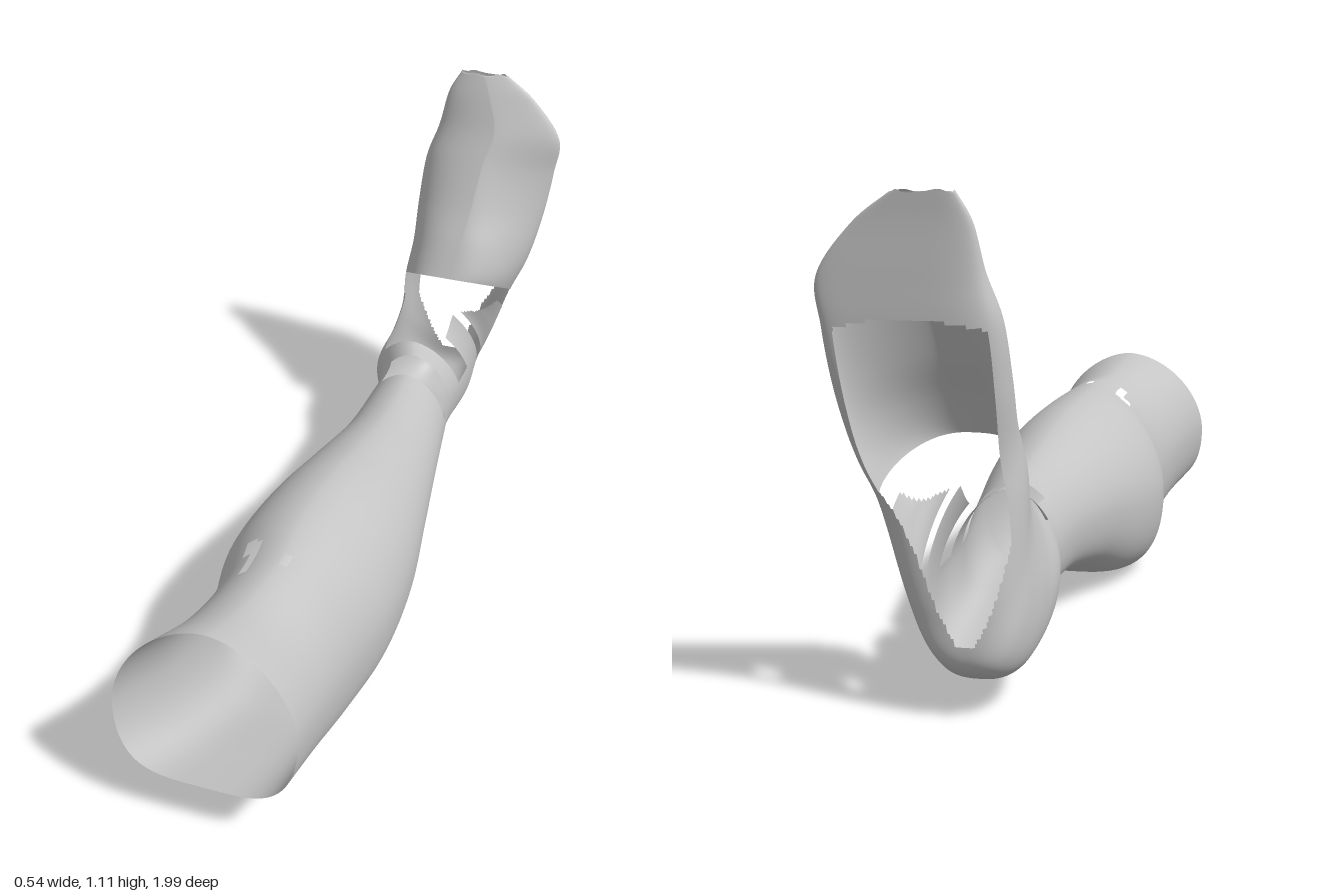
import * as THREE from 'three';

const { lerp, smoothstep, clamp } = THREE.MathUtils;

// Cross-sections from knee to toes:
// back point (z, y), front point (z, y), x range
const SECTIONS = [
  [1.0, 0.13, 0.945, 0.55, -0.27, 0.185],
  [0.82, 0.08, 0.78, 0.51, -0.22, 0.185],
  [0.6, 0.02, 0.6, 0.505, -0.2, 0.195],
  [0.4, 0.002, 0.4, 0.505, -0.24, 0.215],
  [0.2, 0.03, 0.2, 0.49, -0.225, 0.21],
  [0, 0.095, 0, 0.455, -0.18, 0.18],
  [-0.2, 0.13, -0.2, 0.42, -0.14, 0.145],
  [-0.4, 0.137, -0.4, 0.405, -0.13, 0.11],
  [-0.54, 0.13, -0.5, 0.41, -0.13, 0.09],
  [-0.7, 0.105, -0.58, 0.42, -0.175, 0.09],
  [-0.86, 0.07, -0.64, 0.46, -0.17, 0.09],
  [-0.96, 0.11, -0.675, 0.52, -0.155, 0.095],
  [-0.97, 0.22, -0.69, 0.55, -0.145, 0.125],
  [-0.96, 0.42, -0.7, 0.57, -0.14, 0.175],
  [-0.957, 0.53, -0.745, 0.66, -0.13, 0.21],
  [-0.98, 0.68, -0.797, 0.75, -0.13, 0.24],
  [-0.988, 0.82, -0.857, 0.87, -0.12, 0.26],
  [-0.985, 0.93, -0.9, 0.96, -0.088, 0.268],
  [-0.98, 1.04, -0.935, 1.05, -0.065, 0.19],
  [-0.98, 1.11, -0.96, 1.11, -0.03, 0.1],
];
const LAST = SECTIONS.length - 1;
const STEPS = 14; // rows per section
const ROWS = LAST * STEPS;
const SIDES = 160;

const spline = (points) => new THREE.CatmullRomCurve3(points, false, 'catmullrom', 0.5);
const backCurve = spline(SECTIONS.map((s) => new THREE.Vector3(s[4], s[1], s[0])));
const frontCurve = spline(SECTIONS.map((s) => new THREE.Vector3(s[5], s[3], s[2])));

// Point on the shell: t counts sections, a is the angle from the shin ridge.
// The calf is boxy below with a ridge on top; the foot slopes to its left side.
function shellPoint(t, a) {
  const back = backCurve.getPoint(t / LAST);
  const front = frontCurve.getPoint(t / LAST);
  const foot = smoothstep(t, 10, 13);
  const toes = smoothstep(t, 13, 16);
  const heel = smoothstep(t, 9, 11) * (1 - smoothstep(t, 12.5, 14.5));
  const c = Math.cos(a);
  const s = Math.sin(a);
  const drop = s > 0 ? 0.38 * foot + 0.9 * toes : 0.2 * toes - 0.1 * foot;
  const ridge = 1.12 + (s > 0 ? 0.8 * toes - 0.22 * foot : 0.1 * toes - 0.42 * foot);
  const power = c < 0 ? 0.62 + 0.33 * heel : ridge;
  const h = Math.pow((1 + c) / 2, 1.22 + drop);
  const x = (back.x + front.x) / 2
    + (front.x - back.x) / 2 * Math.sign(s) * Math.pow(Math.abs(s), power)
    - 0.025 * heel * Math.pow((1 - c) / 2, 2);
  return [x, lerp(back.y, front.y, h), lerp(back.z, front.z, h)];
}

// Openings: section range, signed angle range in degrees (+ is the left side),
// and the angle range at the far end where it differs
const OPENINGS = [
  [7.05, 8.1, -40, 80], // window above the strap
  [8.85, 9.7, 0, 80], // left window below the strap
  [8.85, 11.5, -48, 0], // open instep
  [9.7, 10.7, 0, 38],
  [10.7, 11.05, 0, 105], // slit behind the left ankle strip
  [11.05, 12.6, 0, 45, 0, 70],
  [11.5, 13, -48, 0, -75, 0],
  [12.6, 13, 0, 105], // gap under the foot cover
  [1.75, 2.4, -29, -23], // small shin cracks
  [2.2, 2.5, -35, -26],
  [1.9, 2.15, 2, 8],
];

// The sole is open between the heel and the ball of the foot
function isSole(t, degrees) {
  const [t1, edge] = degrees > 0 ? [13.5, 130] : [12.6, 125];
  const sideEdge = lerp(172, edge, clamp((t - 11.6) / (t1 - 11.6), 0, 1));
  const end = 16 + 0.25 * (Math.abs(degrees) - 125) / 55;
  return t > 11.6 && t < end && Math.abs(degrees) > sideEdge;
}

function isOpen(t, degrees) {
  return isSole(t, degrees) || OPENINGS.some(([t0, t1, a0, a1, b0 = a0, b1 = a1]) => {
    const f = (t - t0) / (t1 - t0);
    return f > 0 && f < 1 && degrees > lerp(a0, b0, f) && degrees < lerp(a1, b1, f);
  });
}

export function createModel() {
  const group = new THREE.Group();
  const shellGrey = new THREE.MeshStandardMaterial({ color: 0xc4c4c4, side: THREE.DoubleSide });
  shellGrey.name = 'shell grey';

  // Shared vertex grid
  const positions = [];
  for (let r = 0; r <= ROWS; r++) {
    for (let i = 0; i < SIDES; i++) {
      const a = i / SIDES * Math.PI * 2;
      const p = shellPoint(r / STEPS, a);
      // ragged toe rim
      if (r === ROWS) p[1] -= 0.004 * (1 + Math.sin(a * 5));
      positions.push(...p);
    }
  }
  const grid = new THREE.BufferGeometry();
  grid.setAttribute('position', new THREE.Float32BufferAttribute(positions, 3));

  const faces = (fromRow, toRow, cut) => {
    const index = [];
    for (let r = fromRow; r < toRow; r++) {
      for (let i = 0; i < SIDES; i++) {
        let degrees = (i + 0.5) / SIDES * 360;
        if (degrees > 180) degrees -= 360;
        if (cut && isOpen((r + 0.5) / STEPS, degrees)) continue;
        const j = (i + 1) % SIDES;
        const a = r * SIDES + i, b = r * SIDES + j;
        const c = a + SIDES, d = b + SIDES;
        index.push(a, b, c, b, d, c);
      }
    }
    return index;
  };
  grid.setIndex(faces(0, ROWS, false));
  grid.computeVertexNormals();

  // Shell parts share normals so their joins stay smooth
  const parts = [['calfShell', 0, 7], ['ankleAndHeelShell', 7, 13], ['footShell', 13, LAST]];
  for (const [name, from, to] of parts) {
    grid.setIndex(faces(from * STEPS, to * STEPS, true));
    const mesh = new THREE.Mesh(grid.toNonIndexed(), shellGrey);
    mesh.name = name;
    group.add(mesh);
  }
  return group;
}
